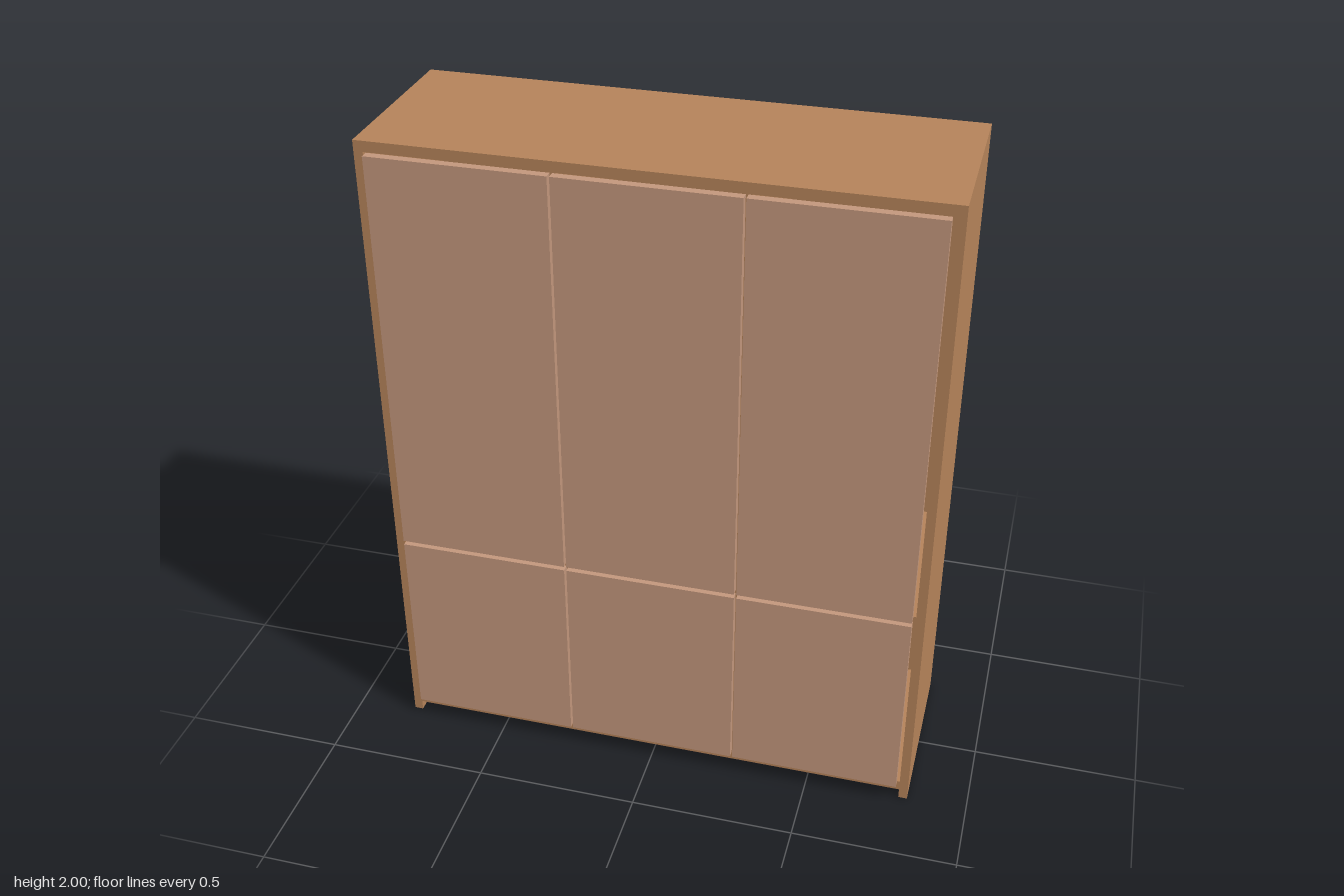
import * as THREE from 'three';

const W = 0.818, H = 2, BACK = -0.29, FRONT = 0.265, T = 0.027;

export function createModel() {
  const model = new THREE.Group();
  model.name = 'wardrobe';
  const wood = new THREE.MeshStandardMaterial({ color: 0xb5835a });
  const doorWood = new THREE.MeshStandardMaterial({ color: 0xc3977c });
  const darkWood = new THREE.MeshStandardMaterial({ color: 0x8f6044 });

  // box given by its minimum and maximum corners
  const box = (name, [x0, y0, z0], [x1, y1, z1], material = wood) => {
    const mesh = new THREE.Mesh(new THREE.BoxGeometry(x1 - x0, y1 - y0, z1 - z0), material);
    mesh.position.set((x0 + x1) / 2, (y0 + y1) / 2, (z0 + z1) / 2);
    mesh.name = name;
    model.add(mesh);
  };

  // carcass: sides and back reach the floor
  const inner = W - T, floorY = 0.065, ceilingY = 1.968, innerBack = BACK + 0.02;
  box('rightSide', [-W, 0, BACK], [-inner, H, FRONT]);
  box('leftSide', [inner, 0, BACK], [W, H, FRONT]);
  box('topBoard', [-inner, ceilingY, BACK], [inner, H, FRONT]);
  box('bottomBoard', [-inner, 0.033, innerBack], [inner, floorY, FRONT]);
  box('backPanel', [-inner, 0, BACK], [inner, ceilingY, innerBack]);

  // dark plinth under the bottom board, set back from the front
  box('plinth', [-inner, 0.003, innerBack], [inner, 0.033, FRONT - 0.03], darkWood);

  // inner partitions behind the door gaps
  const pitch = 0.524;
  const edges = [-inner, -pitch / 2, pitch / 2, inner];
  for (const x of edges.slice(1, 3)) {
    box('divider', [x - T / 2, floorY, innerBack], [x + T / 2, ceilingY, FRONT]);
  }
  for (let i = 0; i < 3; i++) {
    const x0 = edges[i] + (i > 0 ? T / 2 : 0);
    const x1 = edges[i + 1] - (i < 2 ? T / 2 : 0);
    box('shelf', [x0, 0.684, innerBack], [x1, 0.711, FRONT]);
  }

  // three columns of doors in two rows
  const half = 0.2585;
  for (const x of [-pitch, 0, pitch]) {
    box('lowerDoor', [x - half, 0.064, FRONT], [x + half, 0.692, 0.29], doorWood);
    box('upperDoor', [x - half, 0.705, FRONT], [x + half, 1.967, 0.29], doorWood);
  }
  return model;
}
